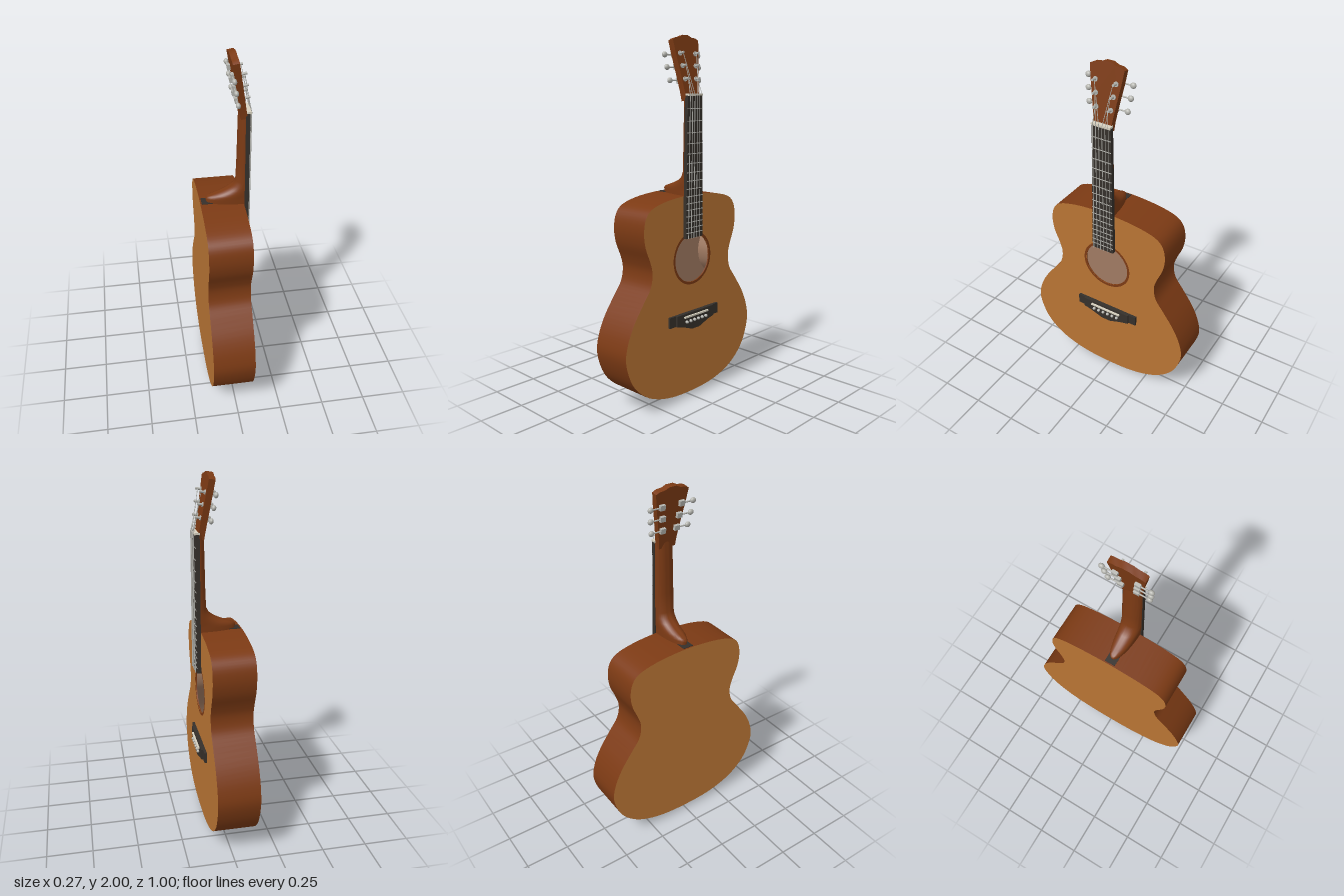
import * as THREE from 'three';
import { toCreasedNormals } from 'three/addons/utils/BufferGeometryUtils.js';

const paint = (name, color, side = THREE.FrontSide) => {
  const m = new THREE.MeshStandardMaterial({ color, side });
  m.name = name;
  return m;
};

export function createModel() {
  const spruce = paint('honey wood', 0xb87434);
  const mahogany = paint('red brown wood', 0x7c3a14);
  const pale = paint('pale inner wood', 0xa07a62);
  const ebony = paint('dark wood', 0x35302b);
  const steel = paint('steel', 0xb4b4ae);
  const bone = paint('bone', 0xd8d2c0);

  // The guitar is built facing +z, then turned so its top faces +x.
  const guitar = new THREE.Group();
  guitar.name = 'guitar';
  const add = (parent, name, geo, mat, x = 0, y = 0, z = 0) => {
    const mesh = new THREE.Mesh(geo, mat);
    mesh.name = name;
    mesh.position.set(x, y, z);
    parent.add(mesh);
    return mesh;
  };
  const box = (w, h, d) => new THREE.BoxGeometry(w, h, d);
  const slab = (shape, depth) => toCreasedNormals(
    new THREE.ExtrudeGeometry(shape, { depth, bevelEnabled: false, curveSegments: 40 }), 0.6);
  // Thin rod between two points
  const rod = (parent, name, a, b, r, mat, sides = 8) => {
    const dir = b.clone().sub(a);
    const mesh = add(parent, name, new THREE.CylinderGeometry(r, r, dir.length(), sides), mat);
    mesh.position.copy(a).add(b).multiplyScalar(0.5);
    mesh.quaternion.setFromUnitVectors(new THREE.Vector3(0, 1, 0), dir.normalize());
    return mesh;
  };
  const V = (x, y, z) => new THREE.Vector3(x, y, z);

  // Body outline: half profile, mirrored and smoothed
  const half = [[0, .03], [.13, .036], [.25, .06], [.36, .11], [.45, .2], [.497, .33], [.485, .43],
    [.44, .53], [.37, .63], [.32, .7], [.305, .775], [.32, .84], [.352, .92], [.363, 1.0],
    [.347, 1.075], [.3, 1.12], [.2, 1.147], [.08, 1.16], [0, 1.162]];
  const loop = [...half, ...half.slice(1, -1).reverse().map(([x, y]) => [-x, y]), half[0]];
  const outline = new THREE.SplineCurve(loop.map(p => new THREE.Vector2(...p))).getPoints(144).slice(0, -1);
  const inset = outline.map(p => new THREE.Vector2(p.x * .97, .6 + (p.y - .6) * .975));
  const HOLE_Y = .81, HOLE_R = .135, BACK = -.138, FRONT = .094;

  // Ribs: a ring-shaped wall between back and top
  const ribs = new THREE.Shape(outline);
  ribs.holes.push(new THREE.Path(inset));
  add(guitar, 'bodySides', slab(ribs, FRONT - BACK - .012), mahogany, 0, 0, BACK + .006);

  add(guitar, 'bodyBack', slab(new THREE.Shape(outline), .006), [spruce, mahogany], 0, 0, BACK);

  const top = new THREE.Shape(outline);
  top.holes.push(new THREE.Path().absarc(0, HOLE_Y, HOLE_R, 0, Math.PI * 2, true));
  add(guitar, 'soundboard', slab(top, .006), [spruce, mahogany], 0, 0, FRONT - .006);

  // Cavity lining: mirrored so that its faces point inward
  const lining = new THREE.ExtrudeGeometry(new THREE.Shape(inset),
    { depth: FRONT - BACK - .016, bevelEnabled: false });
  lining.scale(-.995, 1, 1);
  add(guitar, 'innerLining', toCreasedNormals(lining, 0.6), pale, 0, 0, BACK + .008);

  add(guitar, 'rosette', new THREE.RingGeometry(HOLE_R, .149, 64), mahogany, 0, HOLE_Y, FRONT + .001);

  // Bridge: low wings, raised belly, saddle and pins
  const bridge = new THREE.Group();
  bridge.name = 'bridge';
  bridge.position.set(.005, 0, FRONT);
  guitar.add(bridge);
  add(bridge, 'bridgeWings', box(.39, .06, .014), ebony, 0, .48, .007);
  const belly = new THREE.Shape([[-.15, .51], [-.15, .45], [-.1, .438], [-.03, .412], [.03, .412],
    [.1, .438], [.15, .45], [.15, .51]].map(p => new THREE.Vector2(...p)));
  add(bridge, 'bridgeBelly', slab(belly, .024), ebony);
  add(bridge, 'saddle', box(.19, .009, .012), bone, 0, .492, .028);
  for (let i = 0; i < 6; i++) {
    const pin = add(bridge, 'bridgePin', new THREE.SphereGeometry(.009, 12, 8), steel,
      (i - 2.5) * .031, .464, .029);
    pin.scale.z = 1.2;
  }

  // Strap button
  const button = new THREE.LatheGeometry([[0, 0], [.013, 0], [.014, .006], [.006, .012], [.007, .025],
    [.012, .034]].map(p => new THREE.Vector2(...p)), 16);
  add(guitar, 'strapButton', button, ebony, -.01 + .02, 0, -.035);

  // Neck, slightly off the centre line
  const neck = new THREE.Group();
  neck.name = 'neckAssembly';
  neck.position.x = -.009;
  guitar.add(neck);

  // Neck and heel: rounded cross-sections [height, back depth, half width]
  const sections = [[1.145, -.1, .055], [1.185, -.107, .055], [1.197, -.098, .055], [1.208, -.065, .056],
    [1.222, -.025, .057], [1.238, .01, .058], [1.26, .04, .058], [1.29, .056, .058],
    [1.4, .06, .057], [1.55, .063, .055], [1.7, .066, .052]];
  const N = 20, pos = [], idx = [], NF = .1;
  for (const [y, back, w] of sections) {
    for (let i = 0; i <= N; i++) {
      const a = Math.PI * i / N;
      pos.push(w * Math.cos(a), y, NF - (NF - back) * Math.sin(a));
    }
  }
  const R = N + 1;
  for (let s = 0; s < sections.length - 1; s++) {
    for (let i = 0; i < R; i++) {
      const a = s * R + i, b = s * R + (i + 1) % R;
      idx.push(a, b, b + R, a, b + R, a + R);
    }
  }
  const last = (sections.length - 1) * R;
  for (let i = 1; i < N; i++) idx.push(0, i + 1, i, last, last + i, last + i + 1);
  const neckGeo = new THREE.BufferGeometry();
  neckGeo.setAttribute('position', new THREE.Float32BufferAttribute(pos, 3));
  neckGeo.setIndex(idx);
  add(neck, 'neckAndHeel', toCreasedNormals(neckGeo, 0.8), mahogany);
  add(neck, 'heelPlate', box(.06, .006, .16), ebony, 0, 1.162, -.05);

  // Fretboard, widening towards the sound hole
  const END = .93, NUT = 1.69, halfW = y => .066 - (y - END) / (NUT - END) * .011;
  const board = new THREE.Shape([[-halfW(END), END], [halfW(END), END], [halfW(NUT), NUT],
    [-halfW(NUT), NUT]].map(p => new THREE.Vector2(...p)));
  add(neck, 'fretboard', slab(board, .022), ebony, 0, 0, .096);
  for (let n = 1; n <= 16; n++) {
    const y = NUT - 1.21 * (1 - 2 ** (-n / 12));
    add(neck, 'fret', box(halfW(y) * 2, .004, .003), steel, 0, y, .1185);
  }
  add(neck, 'nut', box(.11, .012, .03), bone, 0, NUT + .004, .11);

  // Headstock, tilted back
  const head = new THREE.Group();
  head.name = 'headstockAssembly';
  head.position.set(-.004, 1.685, .102);
  head.rotation.x = -.165;
  neck.add(head);
  const edge = [[.05, -.02], [.054, .03], [.07, .13], [.086, .22], [.096, .292], [.075, .303],
    [.045, .306], [.02, .318]];
  const headShape = new THREE.Shape([...edge, ...edge.slice().reverse().map(([x, y]) => [-x, y])]
    .map(p => new THREE.Vector2(...p)));
  add(head, 'headstock', slab(headShape, .034), mahogany, 0, 0, -.034);

  // Tuners: post, washer, shaft, gear housing and button
  const rows = [[.09, .042, .11], [.158, .05, .12], [.222, .058, .126]];
  for (const side of [-1, 1]) {
    rows.forEach(([y, px, kx], r) => {
      rod(head, 'tunerPost', V(side * px, y, -.05), V(side * px, y, .03), .0065, steel, 12);
      rod(head, 'tunerWasher', V(side * px, y, 0), V(side * px, y, .005), .013, steel, 16);
      add(head, 'tunerHousing', box(.03, .028, .016), steel, side * px, y, -.042);
      rod(head, 'tunerShaft', V(side * px, y, -.042), V(side * kx, y, -.042), .004, steel);
      const knob = add(head, 'tunerButton', new THREE.SphereGeometry(.016, 16, 12), steel,
        side * kx, y, -.042);
      knob.scale.set(1, .95, .75);
    });
  }

  // Strings: over the fretboard, then fanning out to the posts
  head.updateMatrix();
  for (let i = 0; i < 6; i++) {
    const side = i < 3 ? -1 : 1, [y, px] = rows[i < 3 ? i : 5 - i];
    const x = (i - 2.5) * .018, r = .0022 - i * .0002;
    const atNut = V(x, NUT + .004, .126);
    rod(neck, 'string', V(x * 1.2, END, .124), atNut, r, steel, 6);
    rod(neck, 'stringEnd', atNut, V(side * (px - .006), y, .02).applyMatrix4(head.matrix), r, steel, 6);
  }

  guitar.rotation.y = Math.PI / 2;
  const model = new THREE.Group();
  model.name = 'acousticGuitar';
  model.add(guitar);
  return model;
}
